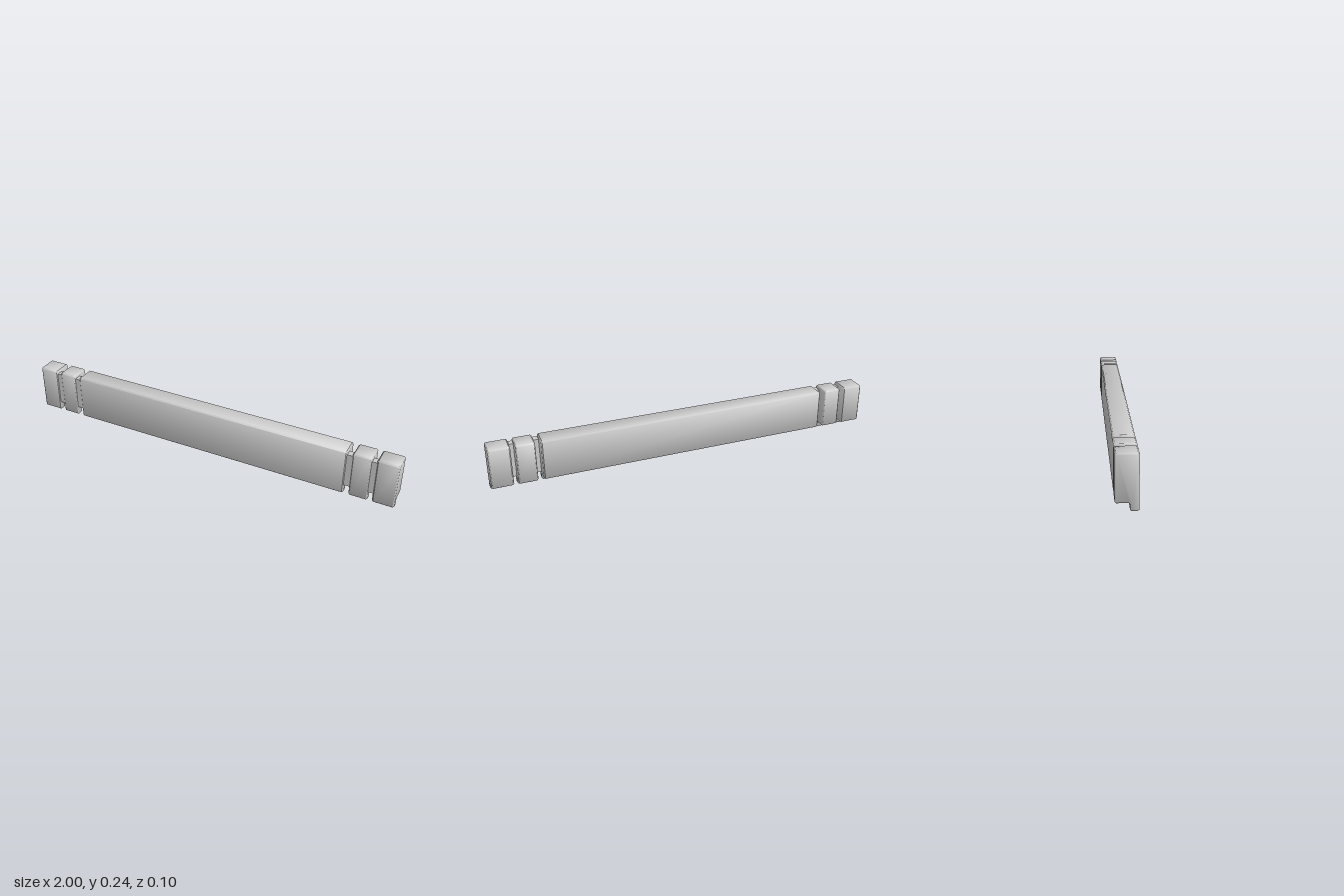
import * as THREE from 'three';
import { toCreasedNormals } from 'three/addons/utils/BufferGeometryUtils.js';

const BEVEL = 0.006;

// L-shaped cross-section (u = -z, v = y) with chamfered outer corners
function sectionShape() {
  const front = -0.049, back = 0.049, top = 0.24, lip = -0.012, rebate = 0.034, c = BEVEL;
  return new THREE.Shape([
    [front + c, 0], [lip - c, 0], [lip, c], [lip, rebate - c], [lip + c, rebate],
    [back - c, rebate], [back, rebate + c], [back, top - c], [back - c, top],
    [front + c, top], [front, top - c], [front, c],
  ].map(([u, v]) => new THREE.Vector2(u, v)));
}

// Bevelled length of the section running from x0 to x1
function segment(name, x0, x1, material) {
  const g = new THREE.ExtrudeGeometry(sectionShape(), {
    depth: x1 - x0 - 2 * BEVEL,
    bevelEnabled: true,
    bevelThickness: BEVEL,
    bevelSize: BEVEL,
    bevelOffset: -BEVEL,
    bevelSegments: 1,
  });
  g.translate(0, 0, x0 + BEVEL);
  g.rotateY(Math.PI / 2);
  const mesh = new THREE.Mesh(toCreasedNormals(g, 0.9), material);
  mesh.name = name;
  return mesh;
}

export function createModel() {
  const group = new THREE.Group();
  group.name = 'board';
  const material = new THREE.MeshStandardMaterial({ color: 0xcccccc });

  // Long middle board
  group.add(segment('mainBoard', -0.75, 0.75, material));

  // Two short blocks at each end
  for (const [side, s] of [['left', 1], ['right', -1]]) {
    for (const [part, a, b] of [['InnerBlock', 0.777, 0.87], ['EndBlock', 0.893, 1]]) {
      group.add(segment(side + part, Math.min(s * a, s * b), Math.max(s * a, s * b), material));
    }
    // Thin webs bridging the grooves
    for (const [part, a, b] of [['InnerWeb', 0.74, 0.787], ['OuterWeb', 0.86, 0.903]]) {
      const web = new THREE.Mesh(new THREE.BoxGeometry(b - a, 0.177, 0.035), material);
      web.name = side + part;
      web.position.set(s * (a + b) / 2, 0.1365, 0.0275);
      group.add(web);
    }
  }
  return group;
}
